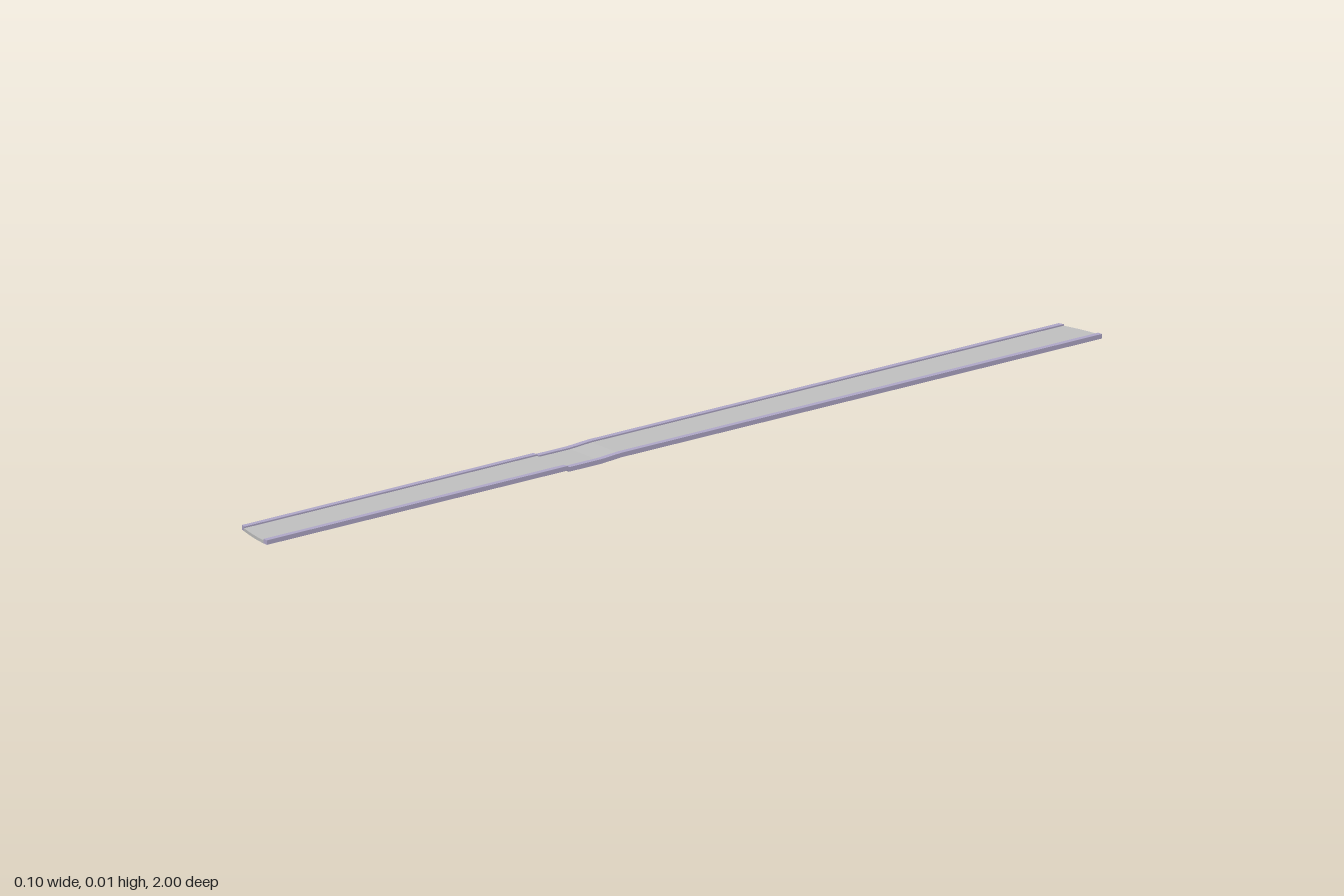
import * as THREE from 'three';

// Stations along the length: [z, drop], with a shallow dip near the middle
const STATIONS = [[-1, 0], [0.15, 0], [0.2, 0.003], [0.277, 0.003], [0.28, 0], [1, 0]];
const HALF_WIDTH = 0.051;

// Both ends are cut along a gentle curve, longest at the left edge
function endZ(x) {
  const t = Math.max(0, (HALF_WIDTH - x) / (2 * HALF_WIDTH));
  return 1 - 0.022 * Math.pow(t, 1.5);
}

// A bar from x0 to x1 and y0 to y1 that follows the stations
function bar(name, x0, x1, y0, y1, xSegments, material) {
  const last = STATIONS.length - 1;
  const box = new THREE.BoxGeometry(1, 1, 1, xSegments, 1, last);
  const p = box.attributes.position;
  for (let i = 0; i < p.count; i++) {
    const x = x0 + (p.getX(i) + 0.5) * (x1 - x0);
    const y = y0 + (p.getY(i) + 0.5) * (y1 - y0);
    const [z, drop] = STATIONS[Math.round((p.getZ(i) + 0.5) * last)];
    p.setXYZ(i, x, y - drop, Math.abs(z) === 1 ? z * endZ(x) : z);
  }
  const geometry = box.toNonIndexed();
  geometry.computeVertexNormals();
  const mesh = new THREE.Mesh(geometry, material);
  mesh.name = name;
  return mesh;
}

export function createModel() {
  const grey = new THREE.MeshStandardMaterial({ color: 0xc0c0c0 });
  grey.name = 'light grey';
  const lavender = new THREE.MeshStandardMaterial({ color: 0xb0a8c8 });
  lavender.name = 'lavender grey';

  const model = new THREE.Group();
  model.name = 'strip';

  // Flat deck between two slightly raised kerbs
  const inner = 0.04;
  model.add(bar('deck', -inner, inner, 0.003, 0.009, 8, grey));
  model.add(bar('leftKerb', inner, HALF_WIDTH, 0.003, 0.012, 1, lavender));
  model.add(bar('rightKerb', -HALF_WIDTH, -inner, 0.003, 0.012, 1, lavender));
  return model;
}
